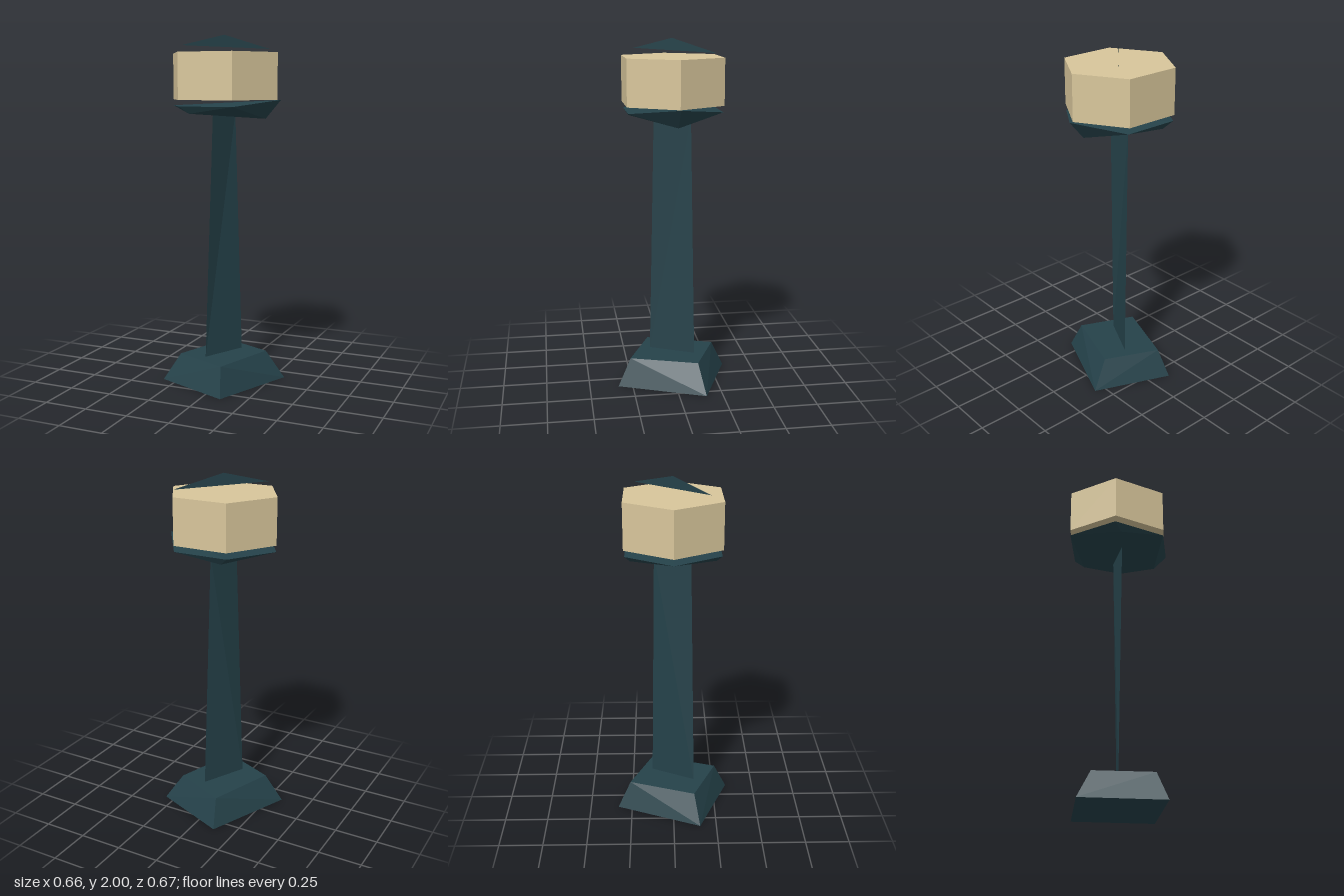
import * as THREE from 'three';
import { ConvexGeometry } from 'three/addons/geometries/ConvexGeometry.js';

const teal = new THREE.MeshStandardMaterial({ color: 0x25424a, flatShading: true, side: THREE.DoubleSide });
teal.name = 'darkTeal';
const cream = new THREE.MeshStandardMaterial({ color: 0xd8c69b, flatShading: true });
cream.name = 'cream';

const vectors = (points) => points.map((p) => new THREE.Vector3(...p));

// Faceted solid wrapped around a few corners
const solid = (points) => new ConvexGeometry(vectors(points));

// Thin one-sheet panel, fanned from its first corner
function sheet(points) {
  const corners = vectors(points);
  const tris = [];
  for (let i = 1; i < corners.length - 1; i++) tris.push(corners[0], corners[i], corners[i + 1]);
  const geometry = new THREE.BufferGeometry().setFromPoints(tris);
  geometry.computeVertexNormals();
  return geometry;
}

export function createModel() {
  const group = new THREE.Group();
  const add = (name, geometry, material) => {
    const mesh = new THREE.Mesh(geometry, material);
    mesh.name = name;
    group.add(mesh);
    return mesh;
  };

  // Turned square foot with sloping sides
  add('base', solid([
    [-0.125, 0, -0.333], [0.31, 0, -0.155], [0.105, 0, 0.333], [-0.333, 0, 0.155],
    [-0.1, 0.16, -0.258], [0.205, 0.16, -0.122], [0.077, 0.16, 0.258], [-0.235, 0.16, 0.122],
  ]), teal);

  // Flat tapering post, slightly twisted
  add('post', sheet([
    [-0.075, 0.155, 0.125], [0.05, 0.155, -0.125], [0.014, 1.565, -0.105], [-0.037, 1.565, 0.1],
  ]), teal);

  // Tilted six-sided cup narrowing to a triangular floor
  const cup = [[0.33, 1.64, 0], [-0.33, 1.605, 0], [0.24, 1.535, 0]];
  for (const s of [-1, 1]) {
    cup.push([0.15, 1.605, 0.262 * s], [-0.17, 1.605, 0.262 * s], [-0.12, 1.565, 0.235 * s]);
  }
  add('lampCup', solid(cup), teal);

  // Six-sided lamp body
  const lamp = add('lampBody', new THREE.CylinderGeometry(0.32, 0.32, 0.26, 6, 1, false, Math.PI / 2), cream);
  lamp.position.set(-0.011, 1.77, 0);
  lamp.scale.z = 0.967;

  // Upright triangular fin above the lamp
  add('topFin', sheet([[-0.182, 1.938, 0.195], [0.18, 1.927, -0.212], [-0.01, 2, 0]]), teal);

  return group;
}
